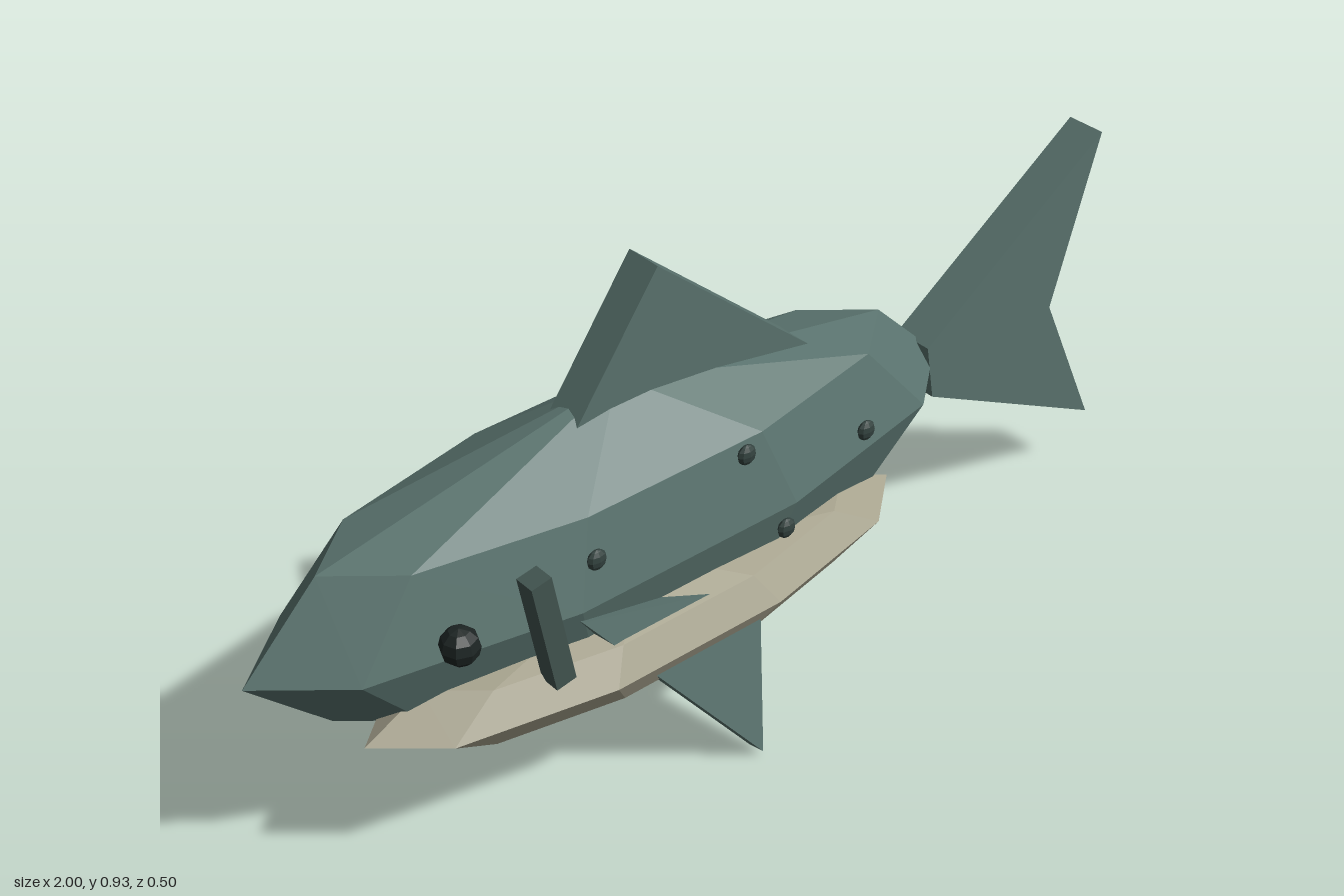
import * as THREE from 'three';

const material = (color) => new THREE.MeshStandardMaterial({ color, flatShading: true });

export function createModel() {
  const fish = new THREE.Group();
  fish.name = 'fish';
  const skin = material(0x5a736e);
  const cream = material(0xa6a28d);
  const gillDark = material(0x425450);
  const spotDark = material(0x33423f);
  const eyeDark = material(0x1c2423);

  const add = (name, geometry, mat, x = 0, y = 0, z = 0) => {
    const mesh = new THREE.Mesh(geometry, mat);
    mesh.name = name;
    mesh.position.set(x, y, z);
    fish.add(mesh);
    return mesh;
  };

  // Ten-sided faceted ellipsoid with a corner pointing along x
  const ellipsoid = (rx, ry, rz) => {
    const profile = [[0, -1], [0.8, -0.57], [1, 0], [0.8, 0.57], [0, 1]];
    return new THREE.LatheGeometry(profile.map(([r, y]) => new THREE.Vector2(r, y)), 10)
      .rotateY(Math.PI / 2)
      .scale(rx, ry, rz);
  };

  // Flat fin cut from an outline, thickness centred on z = 0
  const fin = (points, depth) => {
    const shape = new THREE.Shape(points.map(([x, y]) => new THREE.Vector2(x, y)));
    return new THREE.ExtrudeGeometry(shape, { depth, bevelEnabled: false }).translate(0, 0, -depth / 2);
  };

  // Body and the belly patch set into its front side
  add('body', ellipsoid(0.785, 0.273, 0.213), skin, -0.215, 0.443, -0.05);
  add('belly', ellipsoid(0.6, 0.105, 0.168), cream, -0.245, 0.295, 0.05);

  // Tail and dorsal fin
  add('tailFin', fin([[0.51, 0.49], [0.53, 0.37], [1, 0.13], [0.855, 0.445], [0.965, 0.803]], 0.084), skin, 0, 0, -0.05);
  add('dorsalFin', fin([[-0.34, 0.67], [0.21, 0.62], [-0.15, 0.93]], 0.076), skin, 0, 0, -0.05);

  // Side fin, leaning outwards towards its tip
  const sideFin = add('sideFin', fin([[0, 0], [0.055, 0.33], [-0.325, 0.427]], 0.04), skin, -0.135, 0.004, 0.232);
  sideFin.rotation.x = -0.23;

  // Gill slit
  const gill = add('gill', new THREE.BoxGeometry(0.042, 0.238, 0.042), gillDark, -0.543, 0.463, 0.166);
  gill.rotation.z = 0.17;

  // Eye and flattened spots
  add('eye', new THREE.SphereGeometry(0.036, 8, 6), eyeDark, -0.702, 0.5, 0.145);
  for (const [x, y] of [[-0.435, 0.555], [-0.105, 0.617], [0.18, 0.54], [-0.01, 0.413]]) {
    add('spot', new THREE.SphereGeometry(0.02, 8, 6).scale(1, 1, 0.55), spotDark, x, y, 0.167);
  }

  return fish;
}
